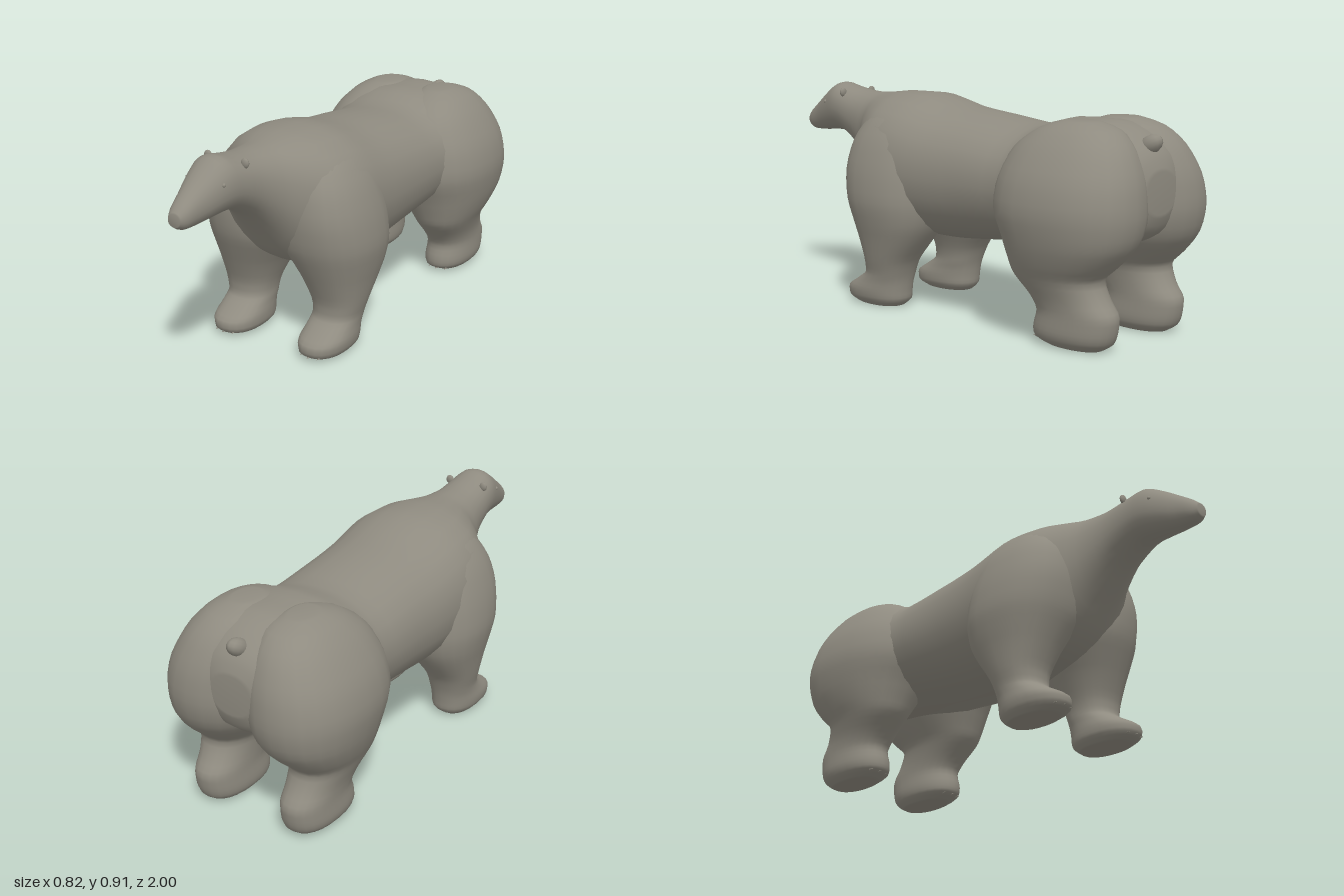
import * as THREE from 'three';

const SIDES = 24;
const STEPS = 3;

// Smoothly fills in extra rows between the given profile rows.
function refine(rows) {
  const out = [];
  const n = rows.length;
  for (let i = 0; i < n - 1; i++) {
    const [a, b, c, d] = [rows[Math.max(i - 1, 0)], rows[i], rows[i + 1], rows[Math.min(i + 2, n - 1)]];
    for (let s = 0; s < STEPS; s++) {
      const t = s / STEPS;
      out.push(b.map((v, k) => {
        // Limited tangents keep the silhouette from overshooting.
        const slope = (p, q, r) => ((q - p) * (r - q) <= 0 ? 0 : (r - p) / 2);
        const m0 = slope(a[k], v, c[k]) * 0.9, m1 = slope(v, c[k], d[k]) * 0.9;
        const t2 = t * t, t3 = t2 * t;
        return (2 * t3 - 3 * t2 + 1) * v + (t3 - 2 * t2 + t) * m0 + (3 * t2 - 2 * t3) * c[k] + (t3 - t2) * m1;
      }));
    }
  }
  out.push(rows[n - 1]);
  return out;
}

// Skins a row of closed rings; ringPoint(row, cos, sin) gives one corner.
function loft(rows, ringPoint, power) {
  const pos = [], idx = [];
  const soft = (v) => Math.sign(v) * Math.abs(v) ** power;
  const fine = refine(rows);
  for (const row of fine) {
    for (let j = 0; j < SIDES; j++) {
      const a = (j / SIDES) * Math.PI * 2;
      pos.push(...ringPoint(row, soft(Math.cos(a)), soft(Math.sin(a))));
    }
  }
  for (let i = 0; i < fine.length - 1; i++) {
    for (let j = 0; j < SIDES; j++) {
      const k = (j + 1) % SIDES, p = i * SIDES, q = p + SIDES;
      idx.push(p + j, p + k, q + k, p + j, q + k, q + j);
    }
  }
  // Close both ends.
  const last = (fine.length - 1) * SIDES;
  const c0 = pos.length / 3;
  pos.push(...ringPoint(fine[0], 0, 0), ...ringPoint(fine[fine.length - 1], 0, 0));
  for (let j = 0; j < SIDES; j++) {
    const k = (j + 1) % SIDES;
    idx.push(c0, k, j, c0 + 1, last + j, last + k);
  }
  const g = new THREE.BufferGeometry();
  g.setAttribute('position', new THREE.Float32BufferAttribute(pos, 3));
  g.setIndex(idx);
  g.computeVertexNormals();
  return g;
}

// Body from rump to nose: z, bottom, top, half width
const BODY = [
  [-0.97, 0.50, 0.66, 0.09],
  [-0.94, 0.43, 0.73, 0.18],
  [-0.86, 0.38, 0.80, 0.28],
  [-0.74, 0.36, 0.84, 0.34],
  [-0.58, 0.35, 0.84, 0.34],
  [-0.42, 0.34, 0.80, 0.31],
  [-0.20, 0.315, 0.825, 0.31],
  [0.00, 0.30, 0.85, 0.32],
  [0.18, 0.305, 0.893, 0.33],
  [0.32, 0.34, 0.897, 0.31],
  [0.42, 0.41, 0.888, 0.24],
  [0.50, 0.51, 0.882, 0.165],
  [0.60, 0.62, 0.884, 0.125],
  [0.70, 0.685, 0.900, 0.110],
  [0.77, 0.698, 0.915, 0.100],
  [0.84, 0.695, 0.880, 0.082],
  [0.91, 0.69, 0.832, 0.060],
  [0.97, 0.692, 0.788, 0.044],
  [1.00, 0.71, 0.76, 0.026],
];

// Legs from sole to shoulder or hip: y, back z, front z, inner x, outer x
const FRONT_LEG = [
  [0.004, 0.20, 0.43, 0.14, 0.28],
  [0.03, 0.17, 0.478, 0.112, 0.305],
  [0.07, 0.165, 0.475, 0.108, 0.312],
  [0.11, 0.16, 0.41, 0.112, 0.308],
  [0.15, 0.15, 0.36, 0.112, 0.31],
  [0.21, 0.125, 0.362, 0.10, 0.325],
  [0.30, 0.06, 0.395, 0.06, 0.345],
  [0.37, 0.02, 0.425, 0.02, 0.362],
  [0.46, 0.00, 0.46, -0.02, 0.376],
  [0.58, 0.01, 0.475, 0.00, 0.362],
  [0.70, 0.04, 0.455, 0.02, 0.322],
  [0.79, 0.09, 0.40, 0.05, 0.262],
  [0.84, 0.16, 0.32, 0.09, 0.20],
];
const HIND_LEG = [
  [0.004, -0.86, -0.62, 0.14, 0.27],
  [0.03, -0.90, -0.565, 0.112, 0.30],
  [0.07, -0.918, -0.56, 0.105, 0.31],
  [0.13, -0.925, -0.575, 0.108, 0.308],
  [0.19, -0.885, -0.54, 0.105, 0.315],
  [0.26, -0.855, -0.475, 0.09, 0.34],
  [0.32, -0.91, -0.45, 0.05, 0.368],
  [0.40, -0.975, -0.42, 0.00, 0.395],
  [0.51, -1.00, -0.38, -0.03, 0.412],
  [0.63, -0.985, -0.39, -0.03, 0.388],
  [0.74, -0.935, -0.44, -0.01, 0.325],
  [0.81, -0.86, -0.53, 0.02, 0.255],
  [0.842, -0.76, -0.63, 0.08, 0.18],
];

export function createModel() {
  const bear = new THREE.Group();
  bear.name = 'bear';
  const fur = new THREE.MeshStandardMaterial({ color: 0x8f8b80 });
  fur.name = 'warm grey fur';

  function add(name, geometry, position = [0, 0, 0], scale = [1, 1, 1]) {
    const mesh = new THREE.Mesh(geometry, fur);
    mesh.name = name;
    mesh.position.set(...position);
    mesh.scale.set(...scale);
    bear.add(mesh);
    return mesh;
  }

  // Torso, neck and head in one skin
  add('body', loft(BODY, ([z, lo, hi, w], c, s) => [w * c, (lo + hi) / 2 + ((hi - lo) / 2) * s, z], 0.92));

  const ball = new THREE.SphereGeometry(1, 12, 8);
  const claw = new THREE.ConeGeometry(0.006, 0.025, 6).rotateX(Math.PI / 2);

  for (const side of [1, -1]) {
    const label = side > 0 ? 'left' : 'right';
    const legPoint = ([y, back, front, inner, outer], c, s) => [
      (side * (inner + outer)) / 2 + ((outer - inner) / 2) * c,
      y,
      (back + front) / 2 - ((front - back) / 2) * s,
    ];
    add(label + 'FrontLeg', loft(FRONT_LEG, legPoint, 0.88));
    add(label + 'HindLeg', loft(HIND_LEG, legPoint, 0.88));

    // Small ears and eyes
    add(label + 'Ear', ball, [side * 0.085, 0.875, 0.69], [0.018, 0.02, 0.01]);
    add(label + 'Eye', ball, [side * 0.084, 0.828, 0.815], [0.007, 0.008, 0.008]);

    // Claws at the toes
    for (const x of [-0.04, 0, 0.04]) {
      add(label + 'FrontClaw', claw, [side * 0.21 + x, 0.025, 0.476 - Math.abs(x) * 0.3]);
      add(label + 'HindClaw', claw, [side * 0.21 + x, 0.025, -0.568 - Math.abs(x) * 0.3]);
    }
  }

  // Stubby tail
  add('tail', ball, [0, 0.755, -0.915], [0.035, 0.035, 0.055]).rotation.x = 0.5;

  return bear;
}
